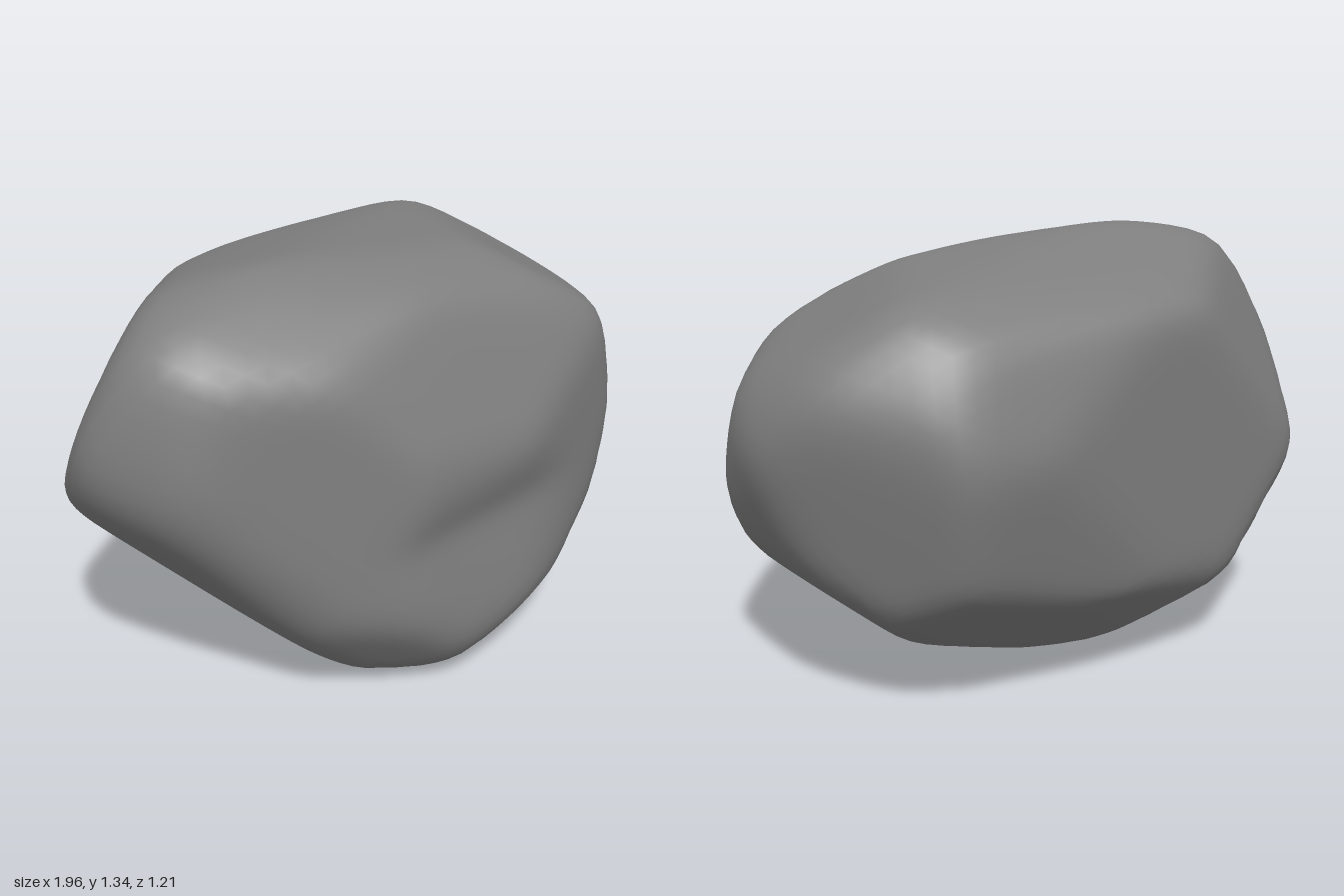
import * as THREE from 'three';
import { mergeVertices } from 'three/addons/utils/BufferGeometryUtils.js';

// Outlines of the boulder about its centre, each with a turn and a tilt in degrees
const OUTLINES = [
  { turn: 0, tilt: 0, points: [[-1, 0.25], [-0.86, 0.59], [-0.4, 0.68], [0.65, 0.565], [0.87, 0.42], [1, 0.155],
    [0.84, -0.255], [0.58, -0.48], [0, -0.675], [-0.29, -0.625], [-0.96, 0.06]] },
  { turn: 90, tilt: 0, points: [[-0.41, 0.58], [-0.61, 0.085], [-0.545, -0.1], [-0.6, -0.465], [-0.52, -0.615],
    [-0.37, -0.675], [0.2, -0.64], [0.5, -0.33], [0.61, 0.15], [0.5, 0.53], [-0.1, 0.675]] },
  { turn: 0, tilt: 90, points: [[-1, 0], [-0.82, 0.36], [0.35, 0.61], [0.6, 0.6], [0.93, 0.29], [1, 0.11],
    [0.91, -0.3], [0.73, -0.48], [0.21, -0.6], [-0.22, -0.58], [-0.84, -0.3]] },
  { turn: 35, tilt: 25, points: [[-0.89, 0.3], [-0.81, 0.63], [-0.58, 0.75], [0.17, 0.67], [0.75, 0.47],
    [0.93, 0.16], [0.82, -0.32], [0.2, -0.74], [-0.32, -0.725], [-0.63, -0.35]] },
  { turn: 215, tilt: 25, points: [[-0.93, 0.415], [-0.84, 0.515], [-0.15, 0.7], [0.29, 0.65], [0.8, 0.38],
    [0.89, 0.01], [0.83, -0.09], [0.54, -0.43], [0.25, -0.625], [0, -0.665], [-0.75, -0.25]] },
  { turn: 140, tilt: -20, points: [[-0.275, 0.84], [0.52, 0.53], [0.87, -0.14], [0.63, -0.405], [-0.02, -0.725],
    [-0.31, -0.735], [-0.675, -0.48], [-0.825, -0.235], [-0.905, 0.065], [-0.79, 0.445], [-0.49, 0.74]] },
];

const cross = (ax, ay, bx, by) => ax * by - ay * bx;

// Distance from the centre, along a direction, to where it leaves one outline
function reach({ turn, tilt, points }, d) {
  const a = THREE.MathUtils.degToRad(turn), e = THREE.MathUtils.degToRad(tilt);
  const u = d.x * Math.cos(a) - d.z * Math.sin(a);
  const w = d.x * Math.sin(a) + d.z * Math.cos(a);
  const v = d.y * Math.cos(e) - w * Math.sin(e);
  let best = Infinity;
  points.forEach(([px, py], i) => {
    const [qx, qy] = points[(i + 1) % points.length];
    const ex = qx - px, ey = qy - py;
    const k = cross(u, v, ex, ey);
    const t = cross(px, py, ex, ey) / k, s = cross(px, py, u, v) / k;
    if (t > 0 && s > -1e-6 && s < 1 + 1e-6) best = Math.min(best, t);
  });
  return best;
}

// Moves every vertex halfway to the mean of its neighbours
function relax(geometry) {
  const pos = geometry.attributes.position, index = geometry.index.array;
  const sum = Array.from({ length: pos.count }, () => new THREE.Vector3());
  const count = new Array(pos.count).fill(0);
  const p = new THREE.Vector3();
  for (let f = 0; f < index.length; f += 3) {
    for (let k = 0; k < 3; k++) {
      const from = index[f + k], to = index[f + (k + 1) % 3];
      sum[from].add(p.fromBufferAttribute(pos, to));
      count[from]++;
    }
  }
  for (let i = 0; i < pos.count; i++) {
    p.fromBufferAttribute(pos, i).lerp(sum[i].divideScalar(count[i]), 0.5);
    pos.setXYZ(i, p.x, p.y, p.z);
  }
}

export function createModel() {
  const group = new THREE.Group();
  group.name = 'boulder';

  // Sphere carved by all the outlines; the swell offsets what blending the edges takes away
  const sphere = new THREE.IcosahedronGeometry(1, 18);
  sphere.deleteAttribute('uv');
  sphere.deleteAttribute('normal');
  const geometry = mergeVertices(sphere, 1e-4);
  const pos = geometry.attributes.position;
  const d = new THREE.Vector3(), sharpness = 60, swell = 1.018;
  for (let i = 0; i < pos.count; i++) {
    d.fromBufferAttribute(pos, i).normalize();
    let total = 0;
    for (const outline of OUTLINES) total += reach(outline, d) ** -sharpness;
    d.multiplyScalar(swell * total ** (-1 / sharpness));
    pos.setXYZ(i, d.x, d.y, d.z);
  }
  for (let n = 0; n < 3; n++) relax(geometry);
  geometry.computeVertexNormals();

  // Stand it on the ground
  geometry.computeBoundingBox();
  geometry.translate(0, -geometry.boundingBox.min.y, 0);

  const rock = new THREE.Mesh(geometry, new THREE.MeshStandardMaterial({ color: 0x808080 }));
  rock.name = 'rock';
  group.add(rock);
  return group;
}
